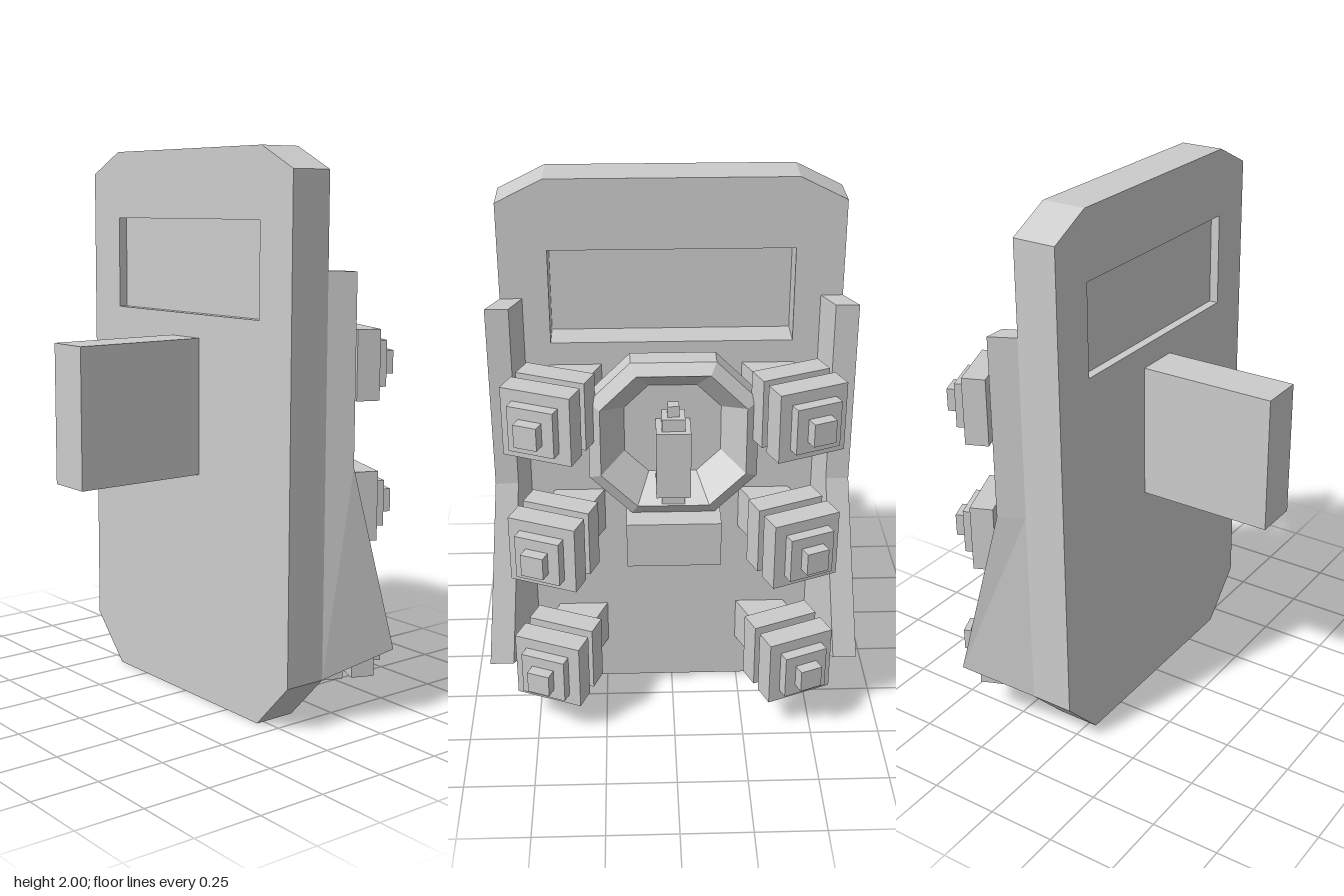
import * as THREE from 'three';

const material = new THREE.MeshStandardMaterial({ color: 0xcccccc, flatShading: true });

function add(parent, name, geometry) {
  const mesh = new THREE.Mesh(geometry, material);
  mesh.name = name;
  parent.add(mesh);
  return mesh;
}

// Box given by its limits on each axis
function box(parent, name, [x0, x1], [y0, y1], [z0, z1]) {
  const mesh = add(parent, name, new THREE.BoxGeometry(x1 - x0, y1 - y0, z1 - z0));
  mesh.position.set((x0 + x1) / 2, (y0 + y1) / 2, (z0 + z1) / 2);
  return mesh;
}

// Faceted skin through rings of points (counter-clockwise seen from the end), with flat caps
function loft(rings) {
  const p = [];
  const tri = (a, b, c) => p.push(...a, ...b, ...c);
  const n = rings[0].length;
  for (let r = 0; r < rings.length - 1; r++) {
    for (let i = 0; i < n; i++) {
      const j = (i + 1) % n, a = rings[r], b = rings[r + 1];
      tri(a[i], a[j], b[j]);
      tri(a[i], b[j], b[i]);
    }
  }
  const first = rings[0], last = rings[rings.length - 1];
  for (let i = 1; i < n - 1; i++) {
    tri(first[0], first[i + 1], first[i]);
    tri(last[0], last[i], last[i + 1]);
  }
  const g = new THREE.BufferGeometry();
  g.setAttribute('position', new THREE.Float32BufferAttribute(p, 3));
  g.computeVertexNormals();
  return g;
}

// Chamfered plate with a window opening
function plateGeometry() {
  const shape = new THREE.Shape([
    [-0.42, 0], [0.42, 0], [0.58, 0.17], [0.58, 1.92],
    [0.42, 2], [-0.42, 2], [-0.58, 1.92], [-0.58, 0.17],
  ].map(([x, y]) => new THREE.Vector2(x, y)));
  shape.holes.push(new THREE.Path([
    [-0.415, 1.42], [-0.415, 1.755], [0.415, 1.755], [0.415, 1.42],
  ].map(([x, y]) => new THREE.Vector2(x, y))));
  return new THREE.ExtrudeGeometry(shape, { depth: 0.16, bevelEnabled: false })
    .rotateY(Math.PI / 2).translate(-0.03, 0, 0);
}

// Side wing: straight above, flaring forward and outward below
function wingGeometry(side) {
  const section = (x, yBack, yFront, outer, inner) => {
    const ring = [
      [0.13, yBack, 0.58 * side], [x, yFront, outer * side],
      [x, yFront, inner * side], [0.13, yBack, 0.505 * side],
    ];
    return side > 0 ? ring : ring.reverse();
  };
  return loft([
    section(0.385, 0.17, 0.255, 0.67, 0.585),
    section(0.22, 0.92, 0.92, 0.625, 0.545),
    section(0.22, 1.585, 1.585, 0.625, 0.545),
  ]);
}

// Octagonal dish: [x, half width] profile, ending in the recessed floor
function dishGeometry() {
  const profile = [[0.13, 0.205], [0.22, 0.29], [0.3, 0.29], [0.325, 0.25], [0.22, 0.168]];
  const corners = [
    [1, -0.5], [1, 0.5], [0.5, 1], [-0.5, 1], [-1, 0.5], [-1, -0.5], [-0.5, -1], [0.5, -1],
  ];
  return loft(profile.map(([x, a]) => corners.map(([u, v]) => [x, 1.13 + v * a, -u * a])));
}

// Stepped lamp pointing along +x, with its tip at the origin
function createLamp() {
  const lamp = new THREE.Group();
  lamp.name = 'lamp';
  const steps = [
    ['lampTip', -0.042, 0, 0.083],
    ['lampStep', -0.083, -0.042, 0.165],
    ['lampFrontBlock', -0.168, -0.083, 0.25],
    ['lampNeck', -0.203, -0.168, 0.165],
    ['lampRearBlock', -0.288, -0.203, 0.25],
    ['lampStem', -0.455, -0.288, 0.165],
  ];
  for (const [name, x0, x1, w] of steps) {
    box(lamp, name, [x0, x1], [-w / 2, w / 2], [-w / 2, w / 2]);
  }
  return lamp;
}

export function createModel() {
  const model = new THREE.Group();
  model.name = 'shield';

  // Plate, window pane and rear grip
  add(model, 'plate', plateGeometry());
  box(model, 'windowPane', [0.003, 0.013], [1.42, 1.755], [-0.415, 0.415]);
  box(model, 'rearGrip', [-0.53, -0.03], [0.84, 1.335], [-0.082, 0.082]);

  // Dish with a stepped ornament and a block below it
  add(model, 'dish', dishGeometry());
  const ornament = new THREE.Group();
  ornament.name = 'dishOrnament';
  model.add(ornament);
  for (const [name, y0, y1, r] of [
    ['ornamentFoot', 0.88, 0.92, 0.04],
    ['ornamentBody', 0.92, 1.17, 0.06],
    ['ornamentShoulder', 1.17, 1.215, 0.04],
    ['ornamentTop', 1.215, 1.255, 0.02],
  ]) {
    box(ornament, name, [0.28 - r, 0.28 + r], [y0, y1], [-r, r]);
  }
  box(model, 'lowerBlock', [0.13, 0.385], [0.67, 0.84], [-0.165, 0.165]);

  // Wings and three splayed lamps on each side
  for (const side of [1, -1]) {
    add(model, side > 0 ? 'frontWing' : 'backWing', wingGeometry(side));
    for (const y of [0.255, 0.755, 1.255]) {
      const lamp = createLamp();
      lamp.position.set(0.511, y, 0.49 * side);
      lamp.rotation.y = -side * Math.PI / 8;
      model.add(lamp);
    }
  }
  return model;
}
